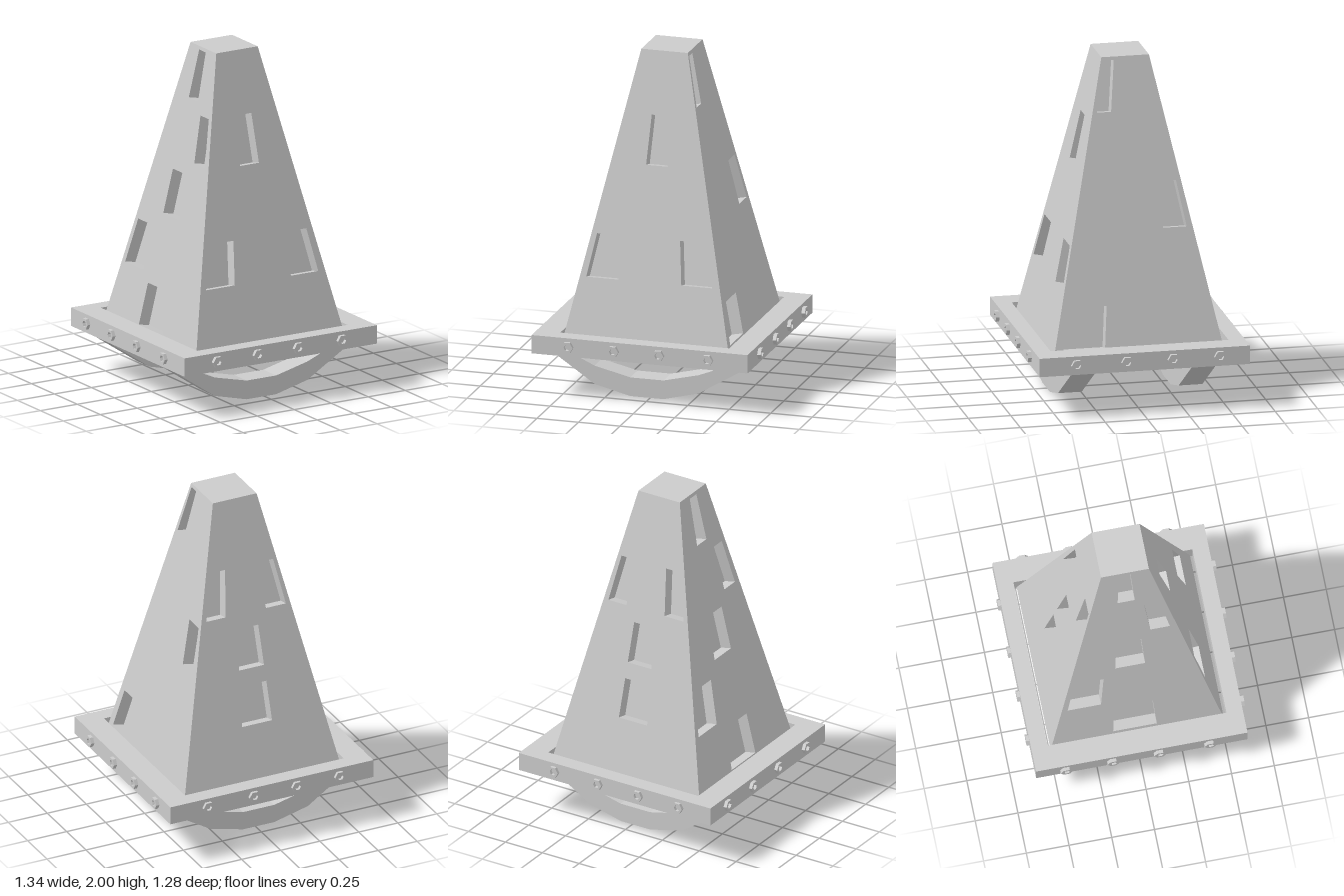
import * as THREE from 'three';

// Tower dimensions: half width shrinks linearly from base to top
const Y0 = 0.29, Y1 = 2, H0 = 0.507, H1 = 0.14, OFF = -0.005;
const TILT = Math.atan2(H0 - H1, Y1 - Y0);
const POCKET_DEPTH = 0.07;
const halfWidth = (y) => H0 + (H1 - H0) * (y - Y0) / (Y1 - Y0);

const solid = new THREE.MeshStandardMaterial({ color: 0xcccccc, flatShading: true });
const thin = new THREE.MeshStandardMaterial({ color: 0xcccccc, flatShading: true, side: THREE.DoubleSide });

// Each window: [bottom y, top y, side a, side b], sides as fractions of the half width
const WALLS = [
  { name: 'frontWall', turn: 0, windows: [
    [0.69, 0.94, -0.91, -0.45], [0.69, 0.94, 0.45, 0.89], [1.35, 1.635, -0.24, 0.22]] },
  { name: 'leftWall', turn: Math.PI / 2, windows: [
    [0.365, 0.6, -0.9, -0.4], [1.02, 1.285, 0.5, 0.9], [1.69, 1.98, -0.88, -0.47]] },
  { name: 'backWall', turn: Math.PI, windows: [
    [0.67, 0.905, -0.22, 0.23], [1.0, 1.24, -0.22, 0.23],
    [1.325, 1.6, 0.45, 0.9], [1.325, 1.6, -0.89, -0.46]] },
  { name: 'rightWall', turn: -Math.PI / 2, windows: [
    [0.365, 0.61, -0.28, 0.24], [0.67, 0.93, -0.92, -0.46], [1.02, 1.28, -0.28, 0.22],
    [1.36, 1.63, 0.44, 0.85], [1.7, 1.98, -0.27, 0.22]] },
];

// Trapezoid corners in the plane of a wall, anticlockwise
function trapezoid(yA, yB, a, b) {
  const v = (y) => (y - Y0) / Math.cos(TILT);
  const hA = halfWidth(yA), hB = halfWidth(yB);
  return [[a * hA, v(yA)], [b * hA, v(yA)], [b * hB, v(yB)], [a * hB, v(yB)]]
    .map(([x, y]) => new THREE.Vector2(x, y));
}

// Recess: four jambs and a back panel
function pocketGeometry(corners) {
  const positions = [0, -POCKET_DEPTH].flatMap((z) => corners.flatMap((c) => [c.x, c.y, z]));
  const index = [4, 5, 6, 4, 6, 7];
  for (let i = 0; i < 4; i++) {
    const j = (i + 1) % 4;
    index.push(i, j, j + 4, i, j + 4, i + 4);
  }
  const g = new THREE.BufferGeometry();
  g.setAttribute('position', new THREE.Float32BufferAttribute(positions, 3));
  g.setIndex(index);
  const flat = g.toNonIndexed();
  flat.computeVertexNormals();
  return flat;
}

function mesh(name, geometry, material = solid) {
  const m = new THREE.Mesh(geometry, material);
  m.name = name;
  return m;
}

function makeWall({ name, turn, windows }) {
  const wall = new THREE.Group();
  wall.name = name;
  wall.rotation.y = turn;
  const place = (g) => g.rotateX(-TILT).translate(0, Y0, H0);
  const shape = new THREE.Shape(trapezoid(Y0, Y1, -1, 1));
  for (const w of windows) {
    const corners = trapezoid(...w);
    shape.holes.push(new THREE.Path([...corners].reverse()));
    wall.add(mesh('windowRecess', place(pocketGeometry(corners)), thin));
  }
  wall.add(mesh('wallPanel', place(new THREE.ShapeGeometry(shape)), thin));
  return wall;
}

// Hollow tapered tower with a flat cap
function makeTower() {
  const tower = new THREE.Group();
  tower.name = 'tower';
  tower.position.set(OFF, 0, OFF);
  WALLS.forEach((w) => tower.add(makeWall(w)));
  const cap = new THREE.PlaneGeometry(2 * H1, 2 * H1).rotateX(-Math.PI / 2).translate(0, Y1, 0);
  tower.add(mesh('cap', cap, thin));
  return tower;
}

function rectangle(PathType, x0, x1, y0, y1) {
  return new PathType([[x0, y0], [x1, y0], [x1, y1], [x0, y1]].map((p) => new THREE.Vector2(...p)));
}

// Square frame around the foot of the tower
function makeFrame() {
  const shape = rectangle(THREE.Shape, -0.655, 0.645, -0.612, 0.625);
  shape.holes.push(rectangle(THREE.Path, -0.512, 0.505, -0.517, 0.53));
  const g = new THREE.ExtrudeGeometry(shape, { depth: 0.11, bevelEnabled: false });
  return mesh('baseFrame', g.rotateX(-Math.PI / 2).translate(0, 0.262, 0));
}

// Hexagonal nuts along all four sides of the frame
function makeNuts() {
  const nuts = new THREE.Group();
  nuts.name = 'nuts';
  const hexagon = (r) => Array.from({ length: 6 }, (_, i) =>
    new THREE.Vector2(r * Math.cos(i * Math.PI / 3), r * Math.sin(i * Math.PI / 3)));
  const shape = new THREE.Shape(hexagon(0.035));
  shape.holes.push(new THREE.Path(hexagon(0.019).reverse()));
  const geometry = new THREE.ExtrudeGeometry(shape, { depth: 0.023, bevelEnabled: false });
  const add = (x, z, turn) => {
    const nut = mesh('nut', geometry);
    nut.position.set(x, 0.32, z);
    nut.rotation.y = turn;
    nuts.add(nut);
  };
  for (const x of [-0.437, -0.163, 0.11, 0.405]) {
    add(x, 0.61, 0);
    add(x, -0.62, Math.PI);
    add(0.643, x - 0.012, Math.PI / 2);
    add(-0.652, x - 0.012, -Math.PI / 2);
  }
  return nuts;
}

// Curved runners under the frame
function makeRocker(z) {
  const outline = [
    [-0.65, 0.264], [-0.335, 0.053], [-0.12, 0], [0.08, 0], [0.29, 0.053], [0.64, 0.264],
    [0.545, 0.264], [0.29, 0.163], [0.08, 0.112], [-0.12, 0.112], [-0.335, 0.163], [-0.56, 0.264],
  ].map((p) => new THREE.Vector2(...p));
  const g = new THREE.ExtrudeGeometry(new THREE.Shape(outline), { depth: 0.14, bevelEnabled: false });
  return mesh('rocker', g.translate(0, 0, z - 0.07));
}

export function createModel() {
  const model = new THREE.Group();
  model.name = 'rockingTower';
  model.add(makeTower(), makeFrame(), makeNuts(), makeRocker(0.355), makeRocker(-0.355));
  return model;
}
